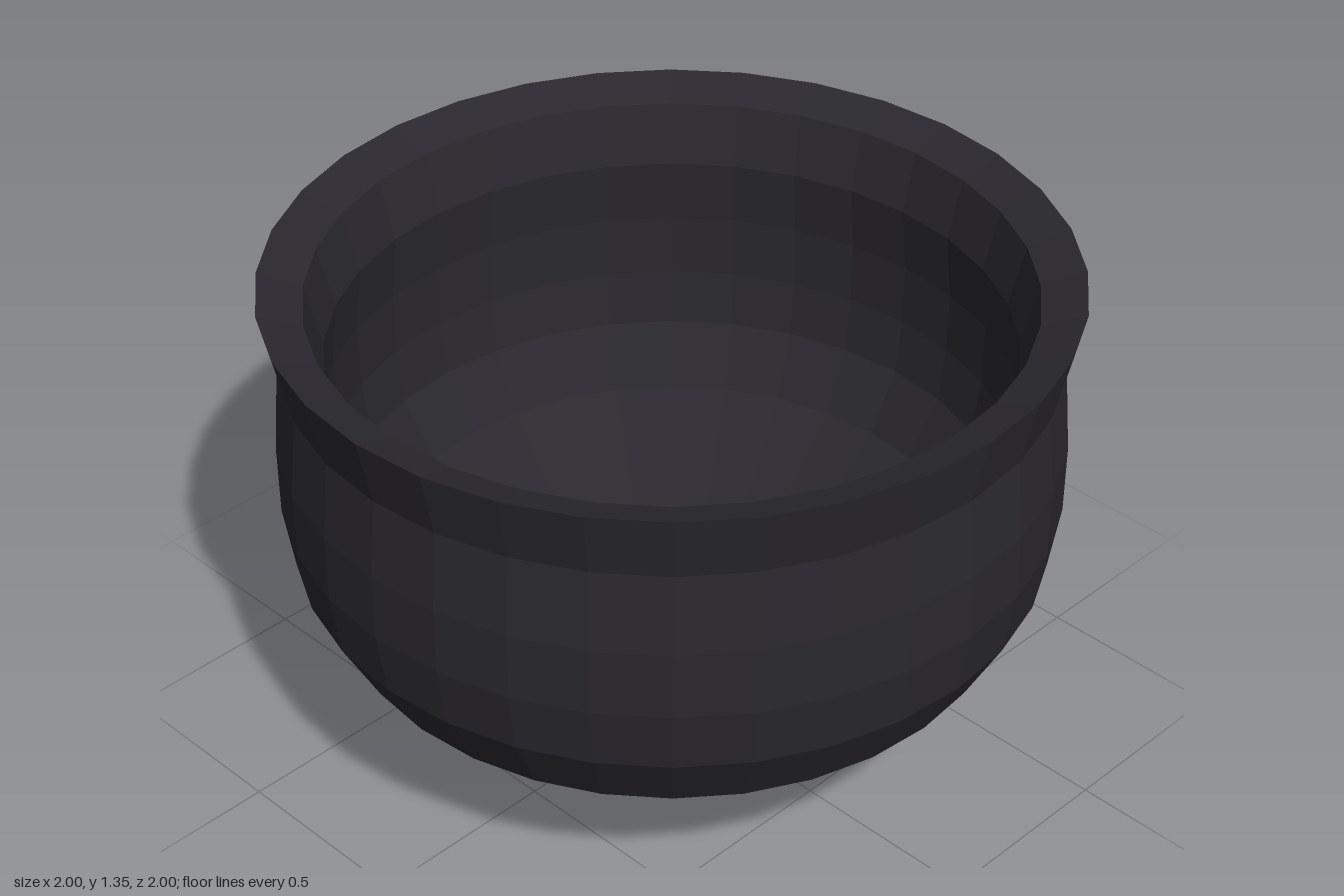
import * as THREE from 'three';

const SIDES = 32;

export function createModel() {
  const group = new THREE.Group();
  group.name = 'bowl';
  const material = new THREE.MeshStandardMaterial({ color: 0x2a282e, flatShading: true });

  // Each profile is a list of [radius, height]
  const lathe = (name, profile) => {
    const points = profile.map(([r, y]) => new THREE.Vector2(r, y));
    const mesh = new THREE.Mesh(new THREE.LatheGeometry(points, SIDES), material);
    mesh.name = name;
    group.add(mesh);
  };

  // Rounded outside, from the base up to the flared lip
  lathe('outerWall', [
    [0, 0], [0.2, 0.02], [0.38, 0.075], [0.55, 0.165], [0.86, 0.43],
    [0.955, 0.61], [0.98, 0.78], [0.98, 0.96], [0.96, 1.17], [1, 1.35],
  ]);

  // Lip sloping inward
  lathe('rim', [[1, 1.35], [0.89, 1.31]]);

  // Hollow inside, from the lip down to the bottom
  lathe('innerWall', [
    [0.89, 1.31], [0.85, 1.15], [0.87, 0.97], [0.87, 0.8], [0.85, 0.65],
    [0.765, 0.49], [0.48, 0.25], [0.33, 0.17], [0.17, 0.12], [0, 0.1],
  ]);

  return group;
}
